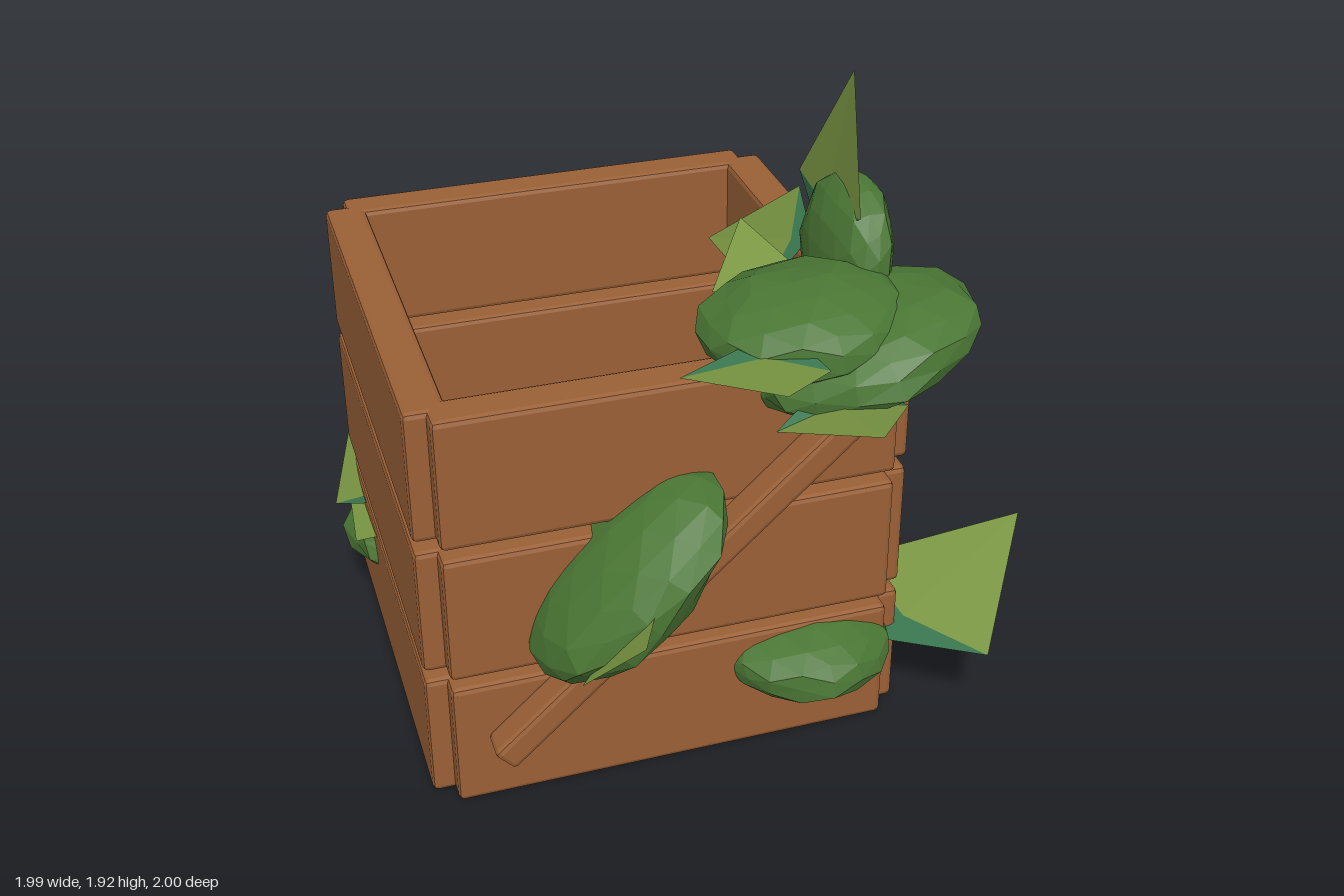
import * as THREE from 'three';
import { RoundedBoxGeometry } from 'three/addons/geometries/RoundedBoxGeometry.js';

const mat = (name, color, extra = {}) => {
  const m = new THREE.MeshStandardMaterial({ color, flatShading: true, ...extra });
  m.name = name;
  return m;
};

export function createModel() {
  const wood = mat('wood', 0x9a6036);
  const darkWood = mat('dark wood', 0x452e25);
  const bush = mat('bush green', 0x4a7634);
  const leafLight = mat('light leaf green', 0x7c9944, { side: THREE.DoubleSide });
  const leafDeep = mat('deep leaf green', 0x3b7850, { side: THREE.DoubleSide });

  const model = new THREE.Group();
  model.name = 'plantedCrate';
  const crate = new THREE.Group();
  crate.name = 'crate';
  const plants = new THREE.Group();
  plants.name = 'plants';
  model.add(crate, plants);

  const CX = -0.195, CZ = -0.2; // crate centre

  const board = (name, w, h, d, x, y, z, rz = 0) => {
    const m = new THREE.Mesh(new RoundedBoxGeometry(w, h, d, 1, 0.016), wood);
    m.name = name;
    m.position.set(x, y, z);
    m.rotation.z = rz;
    crate.add(m);
  };

  // Three rows of planks on four sides
  for (const y of [0.203, 0.633, 1.063]) {
    for (const s of [-1, 1]) {
      board(s > 0 ? 'frontPlank' : 'backPlank', 1.285, 0.395, 0.12, CX, y, CZ + s * 0.645);
      board(s > 0 ? 'leftPlank' : 'rightPlank', 0.12, 0.395, 1.285, CX + s * 0.645, y, CZ);
    }
  }

  // Diagonal braces on front and back
  for (const s of [-1, 1]) {
    board(s > 0 ? 'frontBrace' : 'backBrace', 1.43, 0.085, 0.1, -0.19, 0.675, CZ + s * 0.75, 0.737);
  }

  // Floor
  const floor = new THREE.Mesh(new THREE.BoxGeometry(1.19, 0.04, 1.19), darkWood);
  floor.name = 'floor';
  floor.position.set(CX, 0.045, CZ);
  crate.add(floor);

  // Flattened faceted bushes: centre, radii, rotation
  const bushes = [
    [[-0.345, 0.72, 0.54], [0.36, 0.14, 0.27], [0, 0, 0.77]],
    [[0.22, 0.28, 0.43], [0.26, 0.115, 0.25], [0, 0, 0]],
    [[-0.63, 0.27, -0.52], [0.34, 0.13, 0.29], [0, 0, 0]],
    [[0.11, 0.28, -0.05], [0.45, 0.13, 0.29], [0, 0.45, 0]],
    [[0.2, 1.345, 0.42], [0.3, 0.125, 0.26], [0, 0, 0.05]],
    [[0.34, 1.28, 0.47], [0.33, 0.125, 0.28], [0, 0, 0.3]],
    [[0.405, 1.43, 0.18], [0.1, 0.205, 0.225], [0, 0, -0.15]],
  ];
  bushes.forEach(([p, r, rot], i) => {
    const g = new THREE.IcosahedronGeometry(1, 2);
    const a = g.attributes.position;
    const v = new THREE.Vector3();
    for (let k = 0; k < a.count; k++) {
      v.fromBufferAttribute(a, k);
      // gentle lumpiness, the same wherever corners coincide
      v.multiplyScalar(1 + 0.05 * Math.sin(v.x * 7 + i) * Math.cos(v.z * 6 + v.y * 5 + i));
      a.setXYZ(k, v.x, v.y, v.z);
    }
    g.computeVertexNormals();
    const m = new THREE.Mesh(g, bush);
    m.name = 'bush';
    m.position.set(...p);
    m.scale.set(...r);
    m.rotation.set(...rot);
    plants.add(m);
  });

  // Folded pointed leaf: light blade, deep green heel
  const leaf = (tip, a, b, base) => {
    const mid = a.map((c, i) => ((c + b[i]) / 2) * 0.65 + base[i] * 0.35);
    const g = new THREE.BufferGeometry();
    const pts = [tip, a, mid, tip, mid, b, a, base, mid, mid, base, b].flat();
    g.setAttribute('position', new THREE.Float32BufferAttribute(pts, 3));
    g.addGroup(0, 6, 0);
    g.addGroup(6, 6, 1);
    g.computeVertexNormals();
    const m = new THREE.Mesh(g, [leafLight, leafDeep]);
    m.name = 'leaf';
    plants.add(m);
  };

  // Upper leaves
  leaf([0.415, 1.925, 0.155], [0.37, 1.58, 0.35], [0.39, 1.51, -0.155], [0.4, 1.38, -0.02]);
  leaf([0.2, 1.2, -0.41], [0.39, 1.46, -0.15], [0.24, 1.17, -0.05], [0.38, 1.36, -0.02]);
  leaf([0.18, 1.32, 0.995], [0.37, 1.22, 0.72], [0.02, 1.18, 0.68], [0.2, 1.25, 0.58]);
  leaf([-0.04, 1.43, 0.915], [-0.22, 1.35, 0.62], [0.15, 1.36, 0.72], [0.1, 1.38, 0.5]);
  leaf([0.17, 1.44, -0.04], [0, 1.36, 0.22], [0.28, 1.36, 0.22], [0.15, 1.36, 0.35]);

  // Leaves poking out of the sides
  leaf([0.99, 0.45, 0.25], [0.69, 0.3, 0.69], [0.52, 0.3, 0.12], [0.42, 0.26, 0.46]);
  leaf([0.68, 0.37, -0.23], [0.46, 0.33, -0.37], [0.46, 0.33, -0.06], [0.36, 0.3, -0.2]);
  leaf([-0.89, 0.42, -0.91], [-1.0, 0.43, -0.47], [-0.8, 0.31, -0.8], [-0.76, 0.3, -0.6]);
  leaf([-0.965, 0.38, -0.32], [-0.94, 0.35, -0.6], [-0.74, 0.35, -0.38], [-0.7, 0.3, -0.5]);

  // Leaves around the front bush
  leaf([-0.4, 0.75, 0.91], [-0.53, 0.54, 0.75], [-0.33, 0.76, 0.77], [-0.4, 0.66, 0.68]);
  leaf([-0.65, 0.62, 0.21], [-0.36, 0.78, 0.21], [-0.5, 0.7, 0.42], [-0.4, 0.72, 0.42]);

  // Leaves inside the crate
  leaf([0.33, 0.43, -0.68], [-0.18, 0.42, -0.64], [0.25, 0.4, -0.42], [-0.08, 0.34, -0.32]);
  leaf([0.12, 0.43, -0.48], [-0.3, 0.42, -0.62], [-0.05, 0.4, -0.2], [-0.35, 0.35, -0.15]);
  leaf([0.39, 0.42, -0.62], [0.1, 0.4, -0.5], [0.39, 0.36, -0.25], [0.25, 0.33, -0.2]);
  leaf([-0.24, 0.3, 0.31], [-0.4, 0.4, -0.08], [-0.1, 0.34, 0.22], [-0.2, 0.33, 0]);
  leaf([-0.55, 0.38, -0.17], [-0.77, 0.35, -0.27], [-0.52, 0.36, -0.26], [-0.6, 0.32, -0.35]);

  return model;
}
